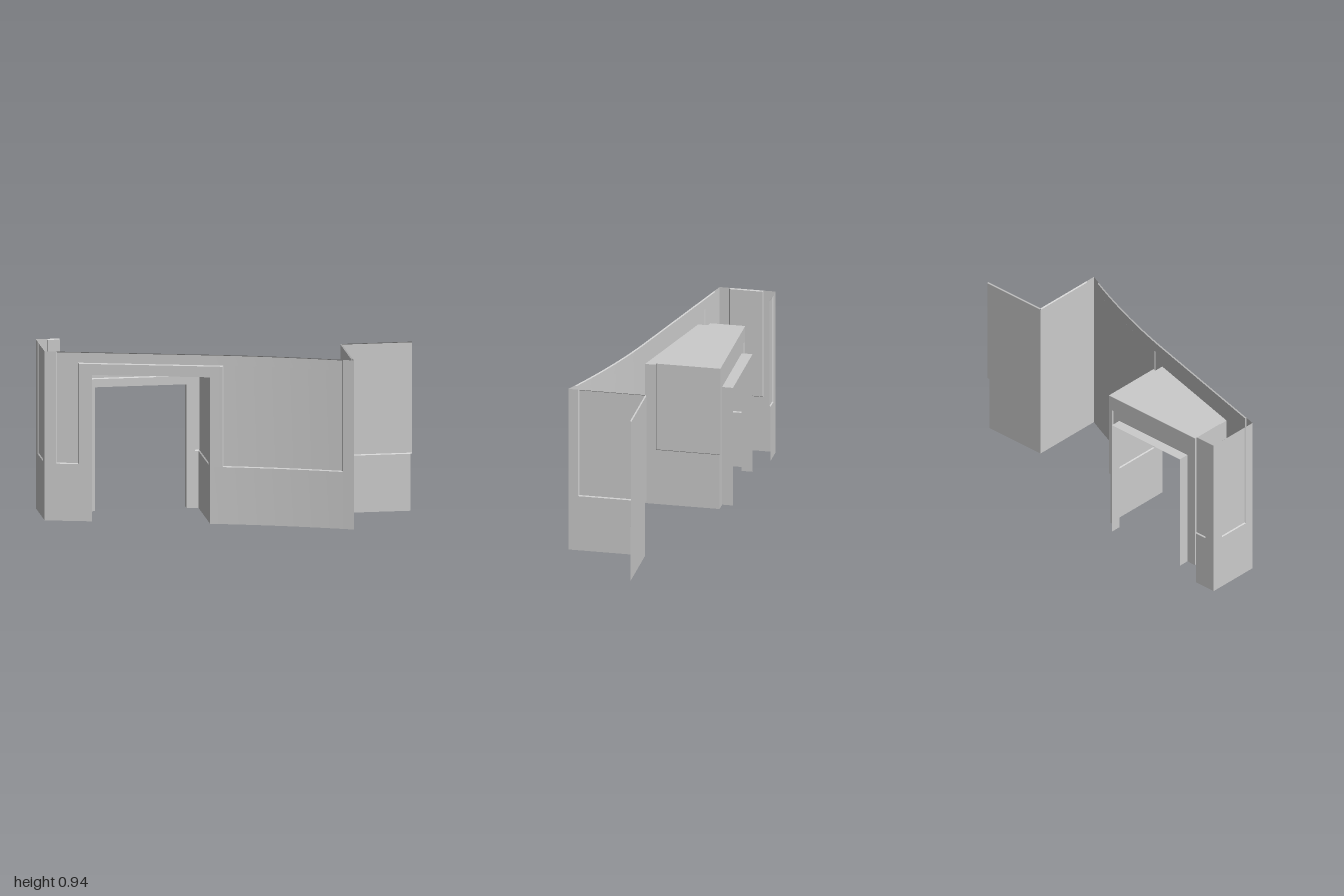
import * as THREE from 'three';
import { mergeGeometries } from 'three/addons/utils/BufferGeometryUtils.js';

const H = 0.935;   // wall height
const RAIL = 0.315; // top of the plain lower band
const D = 0.006;   // panel recess depth
const B = 0.005;   // panel bevel width
const lerp = THREE.MathUtils.lerp;

// Plan curve of the front wall: straight by the doorway, then bending forward
const frontZ = (x) => {
  const t = Math.max(0, x + 0.13);
  return 0.132 + 0.257 * (x + 0.13) + 0.129 * t * t;
};

// Ruled surface between edges a-b and c-d given in (u, v, depth), placed by map
function patch(map, a, b, c, d) {
  const n = Math.max(1, Math.ceil(Math.abs(b[0] - a[0]) / 0.06));
  const pos = [], idx = [];
  for (let i = 0; i <= n; i++) {
    for (const [p, q] of [[a, b], [c, d]]) {
      pos.push(...map(...p.map((s, k) => lerp(s, q[k], i / n))));
    }
    if (i < n) {
      const k = i * 2;
      idx.push(k, k + 2, k + 1, k + 1, k + 2, k + 3);
    }
  }
  const g = new THREE.BufferGeometry();
  g.setAttribute('position', new THREE.Float32BufferAttribute(pos, 3));
  g.setIndex(idx);
  g.computeVertexNormals();
  return g;
}

const rect = (map, [u0, u1, v0, v1], d) =>
  patch(map, [u0, v0, d], [u1, v0, d], [u0, v1, d], [u1, v1, d]);

// Bevelled step along a counterclockwise panel outline
function bevel(map, pts, closed) {
  const n = pts.length;
  const normal = (i) => {
    if (!closed && (i < 0 || i >= n - 1)) return [0, 0];
    const p = pts[(i + n) % n], q = pts[(i + 1 + n) % n];
    return [-Math.sign(q[1] - p[1]), Math.sign(q[0] - p[0])];
  };
  const inner = pts.map((p, i) => {
    const m = normal(i - 1), k = normal(i);
    return [p[0] + B * (m[0] + k[0]), p[1] + B * (m[1] + k[1]), D];
  });
  const out = [];
  for (let i = 0; i < (closed ? n : n - 1); i++) {
    const j = (i + 1) % n;
    out.push(patch(map, [...pts[i], 0], [...pts[j], 0], inner[i], inner[j]));
  }
  return out;
}

export function createModel() {
  const model = new THREE.Group();
  const material = new THREE.MeshStandardMaterial({ color: 0xcccccc, side: THREE.DoubleSide });

  const add = (name, geometries) => {
    const mesh = new THREE.Mesh(mergeGeometries(geometries), material);
    mesh.name = name;
    model.add(mesh);
  };
  const wall = (name, map, base, panels, outline, closed = false) => add(name, [
    ...base.map((r) => rect(map, r, 0)),
    ...panels.map((r) => rect(map, r, D)),
    ...(outline ? bevel(map, outline, closed) : []),
  ]);

  // Curved front wall with a sunk panel running around the door frame
  wall('frontWall', (x, y, d) => [x, y, frontZ(x) - d],
    [[-1, -0.94, 0, H], [-0.94, -0.75, 0, RAIL], [-0.82, -0.75, RAIL, 0.87],
      [-0.75, -0.13, 0.81, 0.87], [-0.13, -0.065, RAIL, 0.87],
      [-0.13, 0.56, 0, RAIL], [0.56, 0.615, 0, H]],
    [[-0.94 + B, -0.82 - B, RAIL + B, 0.87 + B], [-0.94 + B, 0.56 - B, 0.87 + B, H - B],
      [-0.065 + B, 0.56 - B, RAIL + B, 0.87 + B]],
    [[-0.94, RAIL], [-0.82, RAIL], [-0.82, 0.87], [-0.065, 0.87],
      [-0.065, RAIL], [0.56, RAIL], [0.56, H], [-0.94, H]], true);

  // Return wall at the projecting corner
  const cornerZ = frontZ(0.615);
  wall('returnWall', (z, y, d) => [0.615 - d, y, z],
    [[0.34, cornerZ, 0, H], [-0.03, 0.34, 0, RAIL]],
    [[-0.03 - D, 0.34 - B, RAIL + B, H - B]],
    [[-0.03, RAIL], [0.34, RAIL], [0.34, H], [-0.03, H]]);

  // Side wing
  wall('wingWall', (x, y, d) => [x, y, -0.03 - d],
    [[0.615, 0.99, 0, RAIL]],
    [[0.615 - D, 1, RAIL + B, H - B]]);
  const wing = (x, y, d) => [x, y, -0.03 - d];
  add('wingTrim', [
    ...bevel(wing, [[0.615, RAIL], [1, RAIL]]),
    ...bevel(wing, [[1, H], [0.615, H]]),
  ]);

  // End wall and its short return at the back
  wall('endWall', (z, y, d) => [-1 + d, y, z],
    [[-0.402, -0.335, 0, H], [-0.145, frontZ(-1), 0, H], [-0.335, -0.145, 0, RAIL]],
    [[-0.335 + B, -0.145 - B, RAIL + B, H - B]],
    [[-0.335, RAIL], [-0.145, RAIL], [-0.145, H], [-0.335, H]], true);
  wall('backReturn', (x, y, d) => [x, y, -0.402 + d],
    [[-1, -0.94, 0, H], [-0.94, -0.87, 0, RAIL]],
    [[-0.94 + B, -0.87, RAIL + B, H - B]],
    [[-0.87, H], [-0.94, H], [-0.94, RAIL], [-0.87, RAIL]]);

  // Porch side walls: plain strip at the front, sunk panel behind
  const BACK = -0.28, TOP = 0.81, CEIL = 0.82;
  for (const [name, x, s] of [['porchRightWall', -0.75, -1], ['porchLeftWall', -0.13, 1]]) {
    const z = frontZ(x), e = z - 0.06;
    wall(name, (u, y, d) => [x + s * d, y, u],
      [[e, z, 0, TOP], [BACK, e, 0, RAIL]],
      [[BACK - D, e - B, RAIL + B, CEIL]],
      [[BACK, RAIL], [e, RAIL], [e, CEIL]]);
  }

  // Porch ceiling, stepped parallel to the front wall
  const stepZ = (x) => frontZ(x) - 0.06;
  add('porchCeiling', [
    rect((x, v) => [x, TOP, lerp(frontZ(x), stepZ(x), v)], [-0.75, -0.13, 0, 1], 0),
    rect((x, v) => [x, lerp(TOP, CEIL, v), stepZ(x) - B * v], [-0.757, -0.123, 0, 1], 0),
    rect((x, v) => [x, CEIL, lerp(stepZ(x) - B, BACK - D, v)], [-0.757, -0.123, 0, 1], 0),
  ]);

  // Porch back wall with a framed inner doorway
  const L = -0.735, R = -0.15, F = 0.73, DL = -0.695, DR = -0.195, DT = 0.685;
  wall('porchBackWall', (x, y, d) => [x, y, BACK - d],
    [[-0.75, DL, 0, RAIL], [DR, -0.13, 0, RAIL], [L, DL, RAIL, F],
      [DR, R, RAIL, F], [DL, DR, DT, F]],
    [[-0.757, L - B, RAIL + B, F + B], [R + B, -0.123, RAIL + B, F + B],
      [-0.757, -0.123, F + B, CEIL]],
    [[-0.755, RAIL], [L, RAIL], [L, F], [R, F], [R, RAIL], [-0.125, RAIL]]);

  // Inner doorway reveal
  const END = -0.34;
  add('doorReveal', [
    ...[DL, DR].map((x) => rect((z, y) => [x, y, z], [END, BACK, 0, DT], 0)),
    rect((x, z) => [x, DT, z], [DL, DR, END, BACK], 0),
  ]);

  return model;
}
